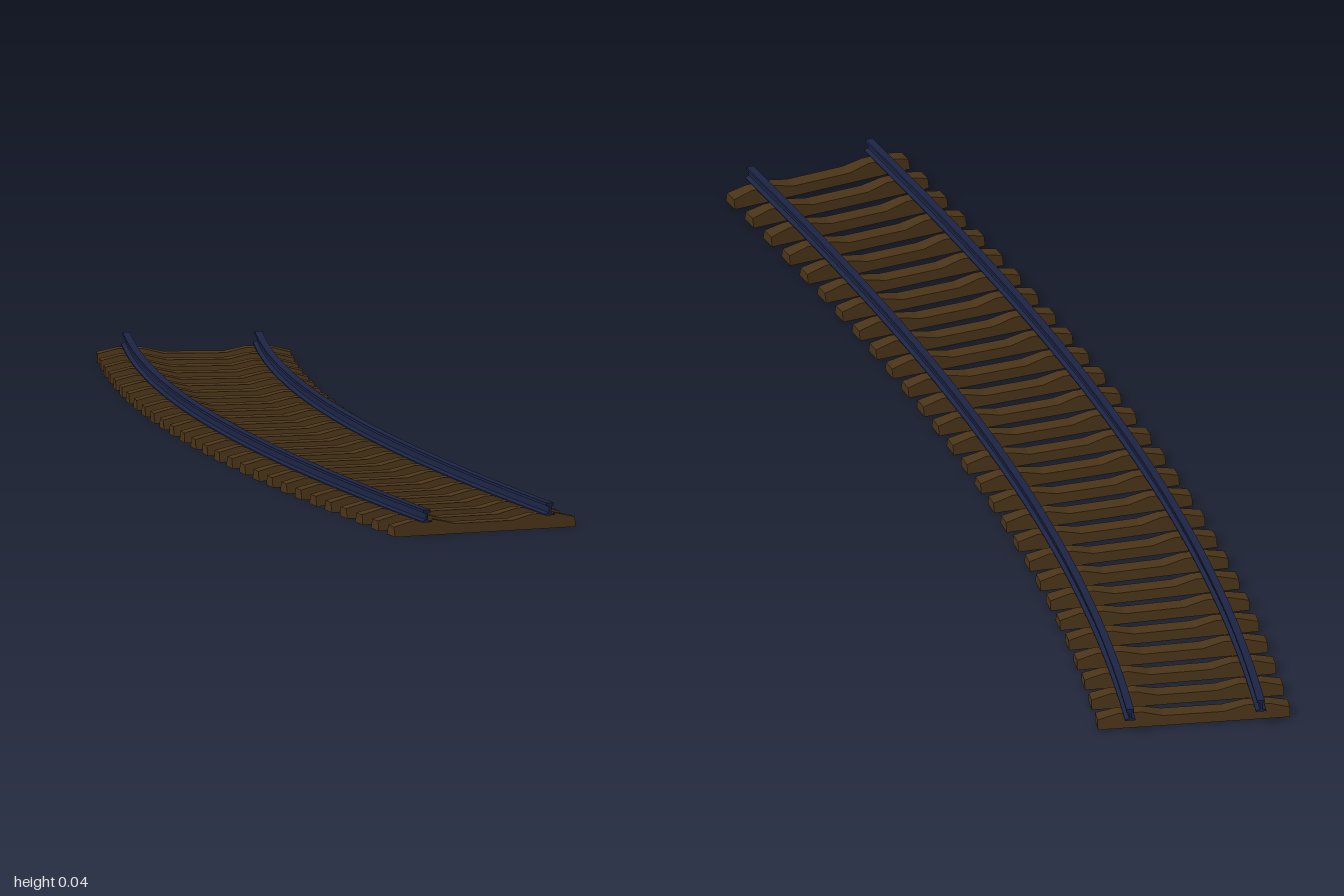
import * as THREE from 'three';

// Centre line of the track: straight at the front, tightening towards the back
const path = new THREE.CatmullRomCurve3(Array.from({ length: 25 }, (_, i) => {
  const t = 1.965 * i / 24;
  return new THREE.Vector3(-0.123 + 0.032 * t * t + 0.0175 * t ** 3, 0, 1 - t);
}));

// Position and heading on the centre line, u from 0 (front) to 1 (back)
function station(u) {
  const p = path.getPointAt(u), d = path.getTangentAt(u);
  return { p, a: Math.atan2(d.x, -d.z) };
}

// Closed symmetric shape from the points of its right half, bottom to top
function mirroredShape(half) {
  const left = half.map(([x, y]) => [-x, y]).reverse();
  return new THREE.Shape([...half, ...left].map(([x, y]) => new THREE.Vector2(x, y)));
}

// Rail section (foot, web, head) swept along the path at a sideways offset
function railGeometry(offset) {
  const shape = mirroredShape([
    [0.0085, 0.0235], [0.0085, 0.0255], [0.002, 0.028],
    [0.002, 0.038], [0.0062, 0.0395], [0.0062, 0.044],
  ]);
  const geo = new THREE.ExtrudeGeometry(shape, { depth: 1, steps: 36, bevelEnabled: false });
  const pos = geo.attributes.position;
  for (let i = 0; i < pos.count; i++) {
    const { p, a } = station(THREE.MathUtils.clamp(1 - pos.getZ(i), 0, 1));
    const side = pos.getX(i) + offset;
    pos.setXYZ(i, p.x + side * Math.cos(a), pos.getY(i), p.z + side * Math.sin(a));
  }
  geo.computeVertexNormals();
  return geo;
}

// Sleeper with raised rail seats, a lower middle and sides that lean inwards
function sleeperGeometry() {
  const shape = mirroredShape([
    [0.158, 0], [0.158, 0.016], [0.125, 0.024], [0.085, 0.024], [0.05, 0.016],
  ]);
  const geo = new THREE.ExtrudeGeometry(shape, { depth: 2, bevelEnabled: false });
  geo.translate(0, 0, -1);
  const pos = geo.attributes.position;
  for (let i = 0; i < pos.count; i++) {
    pos.setZ(i, pos.getZ(i) * (0.0175 - 0.28 * pos.getY(i)));
  }
  geo.computeVertexNormals();
  return geo;
}

export function createModel() {
  const group = new THREE.Group();
  group.name = 'curvedTrack';
  const steel = new THREE.MeshStandardMaterial({ color: 0x1c2444 });
  const wood = new THREE.MeshStandardMaterial({ color: 0x4a3418 });

  // Two rails
  for (const [name, offset] of [['rightRail', -0.1075], ['leftRail', 0.1075]]) {
    const rail = new THREE.Mesh(railGeometry(offset), steel);
    rail.name = name;
    group.add(rail);
  }

  // Evenly spaced sleepers, square to the path
  const sleepers = new THREE.Group();
  sleepers.name = 'sleepers';
  const geo = sleeperGeometry(), count = 28;
  for (let i = 0; i < count; i++) {
    const { p, a } = station(THREE.MathUtils.lerp(0.016, 0.982, i / (count - 1)));
    const sleeper = new THREE.Mesh(geo, wood);
    sleeper.name = 'sleeper';
    sleeper.position.copy(p);
    sleeper.rotation.y = -a;
    sleepers.add(sleeper);
  }
  group.add(sleepers);
  return group;
}
